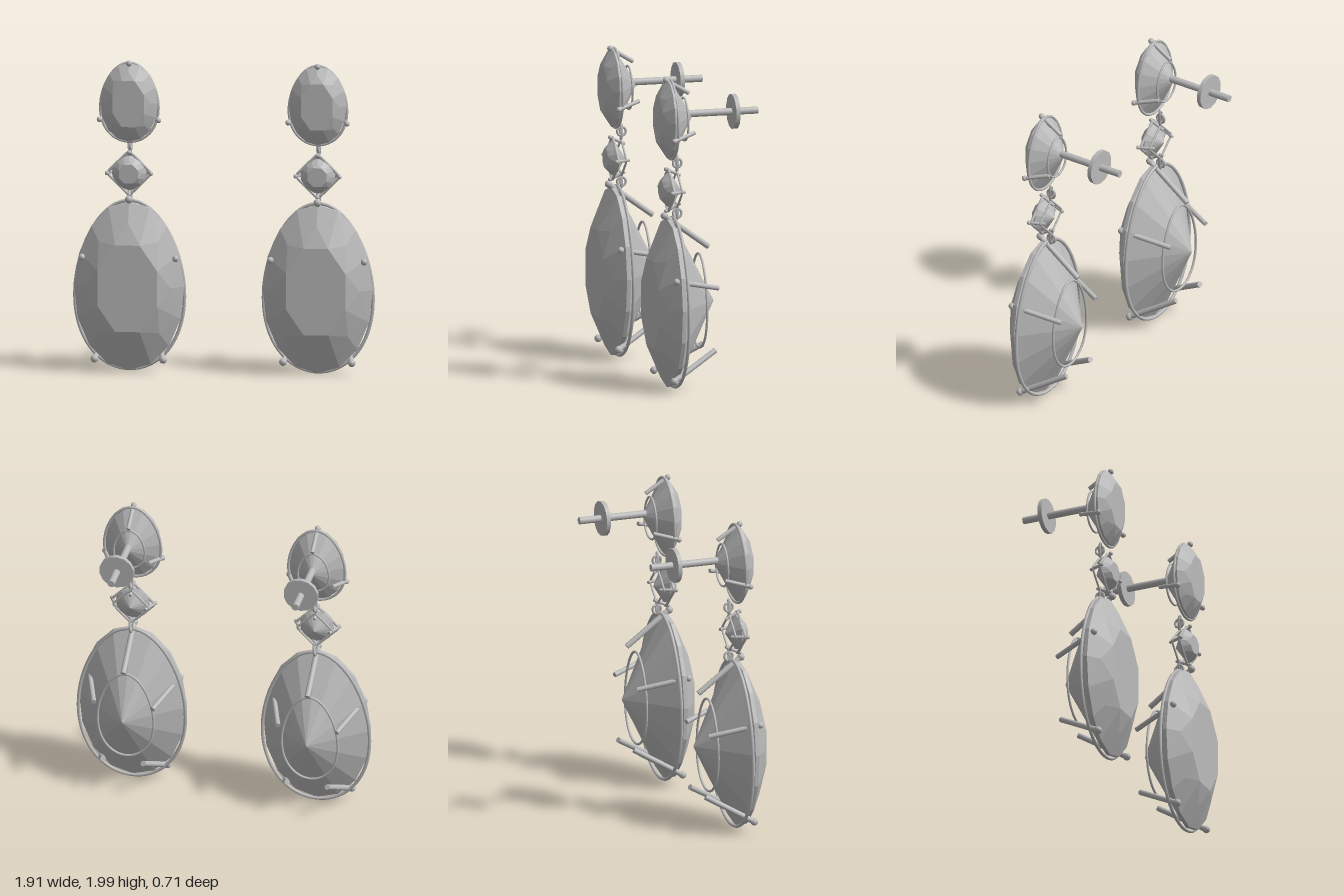
import * as THREE from 'three';

const grey = new THREE.MeshStandardMaterial({ color: 0xbababa });
grey.name = 'silver grey';

const V = (x, y, z) => new THREE.Vector3(x, y, z);

// point on an egg outline, k > 0 makes the lower half wider
function egg(cy, rx, ry, k, a, z) {
  const s = Math.sin(a);
  return V(rx * Math.cos(a) * (1 - k * s), cy + ry * s, z);
}

function add(group, name, geometry) {
  const mesh = new THREE.Mesh(geometry, grey);
  mesh.name = name;
  group.add(mesh);
  return mesh;
}

// faceted brilliant: octagonal table, star and kite facets, girdle, pointed back
function gem(group, name, o) {
  const { cy, rx, ry, k, tx, ty, zTable, zGirdle, zBack, culetY } = o;
  const step = Math.PI / 8;
  const zLow = zGirdle - o.band;
  const T = [], M = [], G = [], L = [];
  for (let i = 0; i < 8; i++) {
    T.push(egg(cy, tx, ty, 0, (2 * i + 1) * step, zTable));
    M.push(egg(cy, (tx + rx) * 0.49, (ty + ry) * 0.49, k, 2 * i * step, zTable * 0.55 + zGirdle * 0.45));
  }
  for (let i = 0; i < 16; i++) {
    G.push(egg(cy, rx, ry, k, i * step, zGirdle));
    L.push(egg(cy, rx, ry, k, i * step, zLow));
  }
  const top = V(0, cy, zTable), culet = V(0, culetY, zBack);
  const pos = [];
  const tri = (...p) => p.forEach((v) => pos.push(v.x, v.y, v.z));
  for (let i = 0; i < 8; i++) {
    const n = (i + 1) % 8, g = 2 * i, g1 = g + 1, g2 = (g + 2) % 16;
    tri(top, T[i], T[n]);
    tri(T[i], M[n], T[n]);
    tri(T[i], M[i], G[g1]);
    tri(T[i], G[g1], M[n]);
    tri(M[i], G[g], G[g1]);
    tri(M[n], G[g1], G[g2]);
  }
  for (let i = 0; i < 16; i++) {
    const n = (i + 1) % 16;
    tri(G[i], L[i], L[n]);
    tri(G[i], L[n], G[n]);
    tri(L[i], culet, L[n]);
  }
  const geometry = new THREE.BufferGeometry();
  geometry.setAttribute('position', new THREE.Float32BufferAttribute(pos, 3));
  geometry.computeVertexNormals();
  add(group, name, geometry);
}

// closed wire through points
function wire(group, name, points, r, tension) {
  const curve = new THREE.CatmullRomCurve3(points, true, 'catmullrom', tension ?? 0.5);
  add(group, name, new THREE.TubeGeometry(curve, 72, r, 8, true));
}

function eggWire(group, name, cy, rx, ry, k, z, r) {
  const pts = [];
  for (let i = 0; i < 24; i++) pts.push(egg(cy, rx, ry, k, (i * Math.PI) / 12, z));
  wire(group, name, pts, r);
}

// rounded diamond wire
function diamondWire(group, name, cy, h, z, r) {
  const pts = [];
  for (let i = 0; i < 4; i++) {
    const at = (turn, s) => {
      const a = ((i + turn) * Math.PI) / 2;
      return V(Math.cos(a) * s, cy + Math.sin(a) * s, z);
    };
    pts.push(at(-0.1, h * 0.92), at(0, h), at(0.1, h * 0.92), at(0.5, h * 0.75));
  }
  wire(group, name, pts, r);
}

function rod(group, name, a, b, r) {
  const dir = b.clone().sub(a);
  const mesh = add(group, name, new THREE.CylinderGeometry(r, r, dir.length(), 14));
  mesh.position.copy(a).lerp(b, 0.5);
  mesh.quaternion.setFromUnitVectors(V(0, 1, 0), dir.normalize());
}

// claw: slanted rod with a rounded tip at the front
function prong(group, a, b, r) {
  rod(group, 'prong', a, b, r);
  const tip = add(group, 'prongTip', new THREE.SphereGeometry(r * 1.35, 14, 10));
  tip.position.copy(a);
}

// two interlocked connector loops
function link(group, y, yRing) {
  const ring = add(group, 'linkRing', new THREE.TorusGeometry(0.028, 0.008, 8, 24));
  ring.rotation.y = Math.PI / 2;
  ring.position.set(0, yRing, 0.175);
  const bar = add(group, 'linkLoop', new THREE.TorusGeometry(0.05, 0.009, 8, 24));
  bar.scale.x = 0.28;
  bar.position.set(0, y, 0.178);
}

function createEarring() {
  const g = new THREE.Group();

  // large drop stone and its basket
  gem(g, 'dropStone', { cy: 0.548, rx: 0.348, ry: 0.54, k: 0.04, tx: 0.205, ty: 0.3,
    zTable: 0.355, zGirdle: 0.245, zBack: -0.065, culetY: 0.55, band: 0.025 });
  eggWire(g, 'dropRim', 0.55, 0.345, 0.54, 0.13, 0.202, 0.011);
  eggWire(g, 'dropBackRing', 0.553, 0.18, 0.3, 0.15, 0.033, 0.008);
  prong(g, V(0, 1.105, 0.26), V(0, 0.895, -0.03), 0.018);
  for (const s of [-1, 1]) {
    prong(g, V(s * 0.297, 0.732, 0.27), V(s * 0.19, 0.66, -0.035), 0.016);
    prong(g, V(s * 0.218, 0.08, 0.262), V(s * 0.13, 0.25, -0.035), 0.018);
  }

  // small middle stone in a diamond frame
  gem(g, 'middleStone', { cy: 1.27, rx: 0.11, ry: 0.11, k: 0, tx: 0.065, ty: 0.065,
    zTable: 0.283, zGirdle: 0.235, zBack: 0.15, culetY: 1.27, band: 0.01 });
  diamondWire(g, 'middleFrame', 1.27, 0.135, 0.235, 0.009);
  diamondWire(g, 'middleBackFrame', 1.27, 0.115, 0.178, 0.007);
  for (let i = 0; i < 4; i++) {
    const c = Math.cos((i * Math.PI) / 2), s = Math.sin((i * Math.PI) / 2);
    prong(g, V(c * 0.14, 1.27 + s * 0.135, 0.25), V(c * 0.095, 1.27 + s * 0.09, 0.155), 0.01);
  }

  // upper stone and its basket
  gem(g, 'upperStone', { cy: 1.723, rx: 0.182, ry: 0.252, k: 0.04, tx: 0.108, ty: 0.16,
    zTable: 0.303, zGirdle: 0.242, zBack: 0.075, culetY: 1.74, band: 0.015 });
  eggWire(g, 'upperRim', 1.722, 0.182, 0.253, 0.14, 0.222, 0.009);
  eggWire(g, 'upperBackRing', 1.72, 0.1, 0.137, 0.15, 0.132, 0.007);
  prong(g, V(0, 1.975, 0.25), V(0, 1.885, 0.1), 0.014);
  for (const s of [-1, 1])
    prong(g, V(s * 0.187, 1.613, 0.25), V(s * 0.13, 1.652, 0.1), 0.013);

  // connectors
  link(g, 1.44, 1.44);
  link(g, 1.13, 1.118);

  // ear post and backing disc
  rod(g, 'earPost', V(0, 1.752, 0.1), V(0, 1.752, -0.355), 0.023);
  rod(g, 'backingDisc', V(0, 1.752, -0.182), V(0, 1.752, -0.21), 0.112);
  return g;
}

export function createModel() {
  const model = new THREE.Group();
  model.name = 'dropEarrings';
  for (const [name, x] of [['leftEarring', 0.598], ['rightEarring', -0.598]]) {
    const earring = createEarring();
    earring.name = name;
    earring.position.x = x;
    model.add(earring);
  }
  return model;
}
